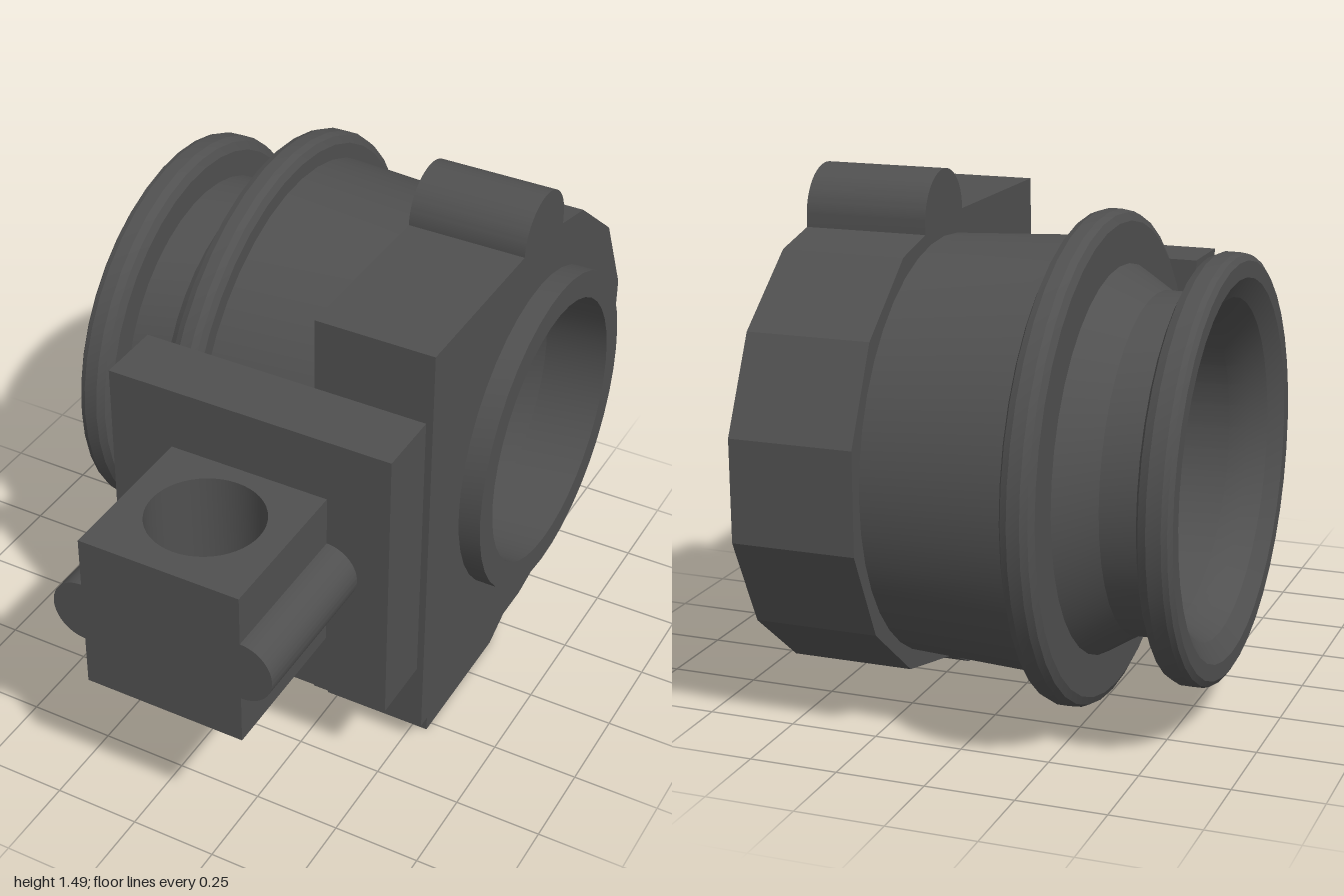
import * as THREE from 'three';
import { toCreasedNormals } from 'three/addons/utils/BufferGeometryUtils.js';

const AXIS_Y = 0.72, AXIS_Z = -0.32;

export function createModel() {
  const model = new THREE.Group();
  const darkGrey = new THREE.MeshStandardMaterial({ color: 0x505050 });
  darkGrey.name = 'darkGrey';

  const add = (name, geometry, x = 0, y = 0, z = 0, crease = 0.08) => {
    const mesh = new THREE.Mesh(toCreasedNormals(geometry, crease), darkGrey);
    mesh.name = name;
    mesh.position.set(x, y, z);
    model.add(mesh);
    return mesh;
  };
  const extrude = (shape, depth, curveSegments = 24) =>
    new THREE.ExtrudeGeometry(shape, { depth, curveSegments, bevelEnabled: false });
  const shapeOf = (points) => new THREE.Shape(points.map(([a, b]) => new THREE.Vector2(a, b)));
  const circleHole = (x, y, r) => new THREE.Path().absarc(x, y, r, 0, Math.PI * 2, true);
  // profile drawn in (-z, y), swept along +x
  const extrudeAlongX = (shape, x0, x1) => extrude(shape, x1 - x0).rotateY(Math.PI / 2).translate(x0, 0, 0);

  // hollow tube with two rounded collars: [radius, x], outside then bore
  const profile = [
    [0.52, -0.625], [0.565, -0.625], [0.58, -0.615], [0.585, -0.6], [0.585, -0.56],
    [0.575, -0.537], [0.55, -0.525], [0.47, -0.525], [0.47, -0.4], [0.535, -0.295],
    [0.65, -0.295], [0.672, -0.284], [0.68, -0.265], [0.68, -0.23], [0.672, -0.211],
    [0.65, -0.2], [0.605, -0.2], [0.585, 0.21], [0.585, 0.5], [0.48, 0.5],
    [0.48, 0.625], [0.4, 0.625], [0.4, 0.43], [0.45, 0.43], [0.45, 0.33],
    [0.41, 0.33], [0.42, -0.49], [0.435, -0.54], [0.465, -0.59], [0.52, -0.625],
  ].map(([r, x]) => new THREE.Vector2(r, x));
  add('collaredTube', new THREE.LatheGeometry(profile, 40).rotateZ(-Math.PI / 2), 0, AXIS_Y, AXIS_Z, 0.3);

  // clamp housing: square front, coarsely rounded back
  const outline = [[-0.35, 1.36], [-0.35, 0.08]];
  for (let i = 0; i <= 7; i++) {
    const a = -Math.PI / 2 + (i / 7) * Math.PI;
    outline.push([-AXIS_Z + 0.64 * Math.cos(a), AXIS_Y + 0.64 * Math.sin(a)]);
  }
  const housing = shapeOf(outline);
  housing.holes.push(circleHole(-AXIS_Z, AXIS_Y, 0.47));
  add('clampHousing', extrudeAlongX(housing, 0.21, 0.56));

  // rounded boss on top of the housing
  const boss = new THREE.Shape();
  boss.absarc(-AXIS_Z, 1.36, 0.13, 0, Math.PI, false);
  boss.lineTo(-AXIS_Z - 0.13, 1.32);
  boss.lineTo(-AXIS_Z + 0.13, 1.32);
  add('topBoss', extrudeAlongX(boss, 0.21, 0.56), 0, 0, 0, 0.4);

  // foot pad under the housing, sloped at the back
  const foot = shapeOf([[-0.28, 0.1], [-0.28, 0], [0.15, 0], [0.24, 0.045], [0.34, 0.1]]);
  add('footPad', extrudeAlongX(foot, 0.22, 0.545));

  // square mounting plate in front
  add('mountingPlate', new THREE.BoxGeometry(0.85, 0.855, 0.195), 0.115, 0.7175, 0.4475);

  // mounting block with a vertical through hole, drawn in (x, -z)
  const block = shapeOf([[-0.12, -1], [0.355, -1], [0.355, -0.54], [-0.12, -0.54]]);
  block.holes.push(circleHole(0.115, -0.76, 0.162));
  add('mountingBlock', extrude(block, 0.48).rotateX(-Math.PI / 2), 0, 0.48, 0, 0.4);

  // half-round rails on both sides of the block
  for (const [name, x, start] of [['leftRail', 0.355, -Math.PI / 2], ['rightRail', -0.12, Math.PI / 2]]) {
    const rail = new THREE.Shape();
    rail.absarc(0, 0, 0.092, start, start + Math.PI, false);
    add(name, extrude(rail, 0.46), x, AXIS_Y, 0.54, 0.4);
  }
  return model;
}
